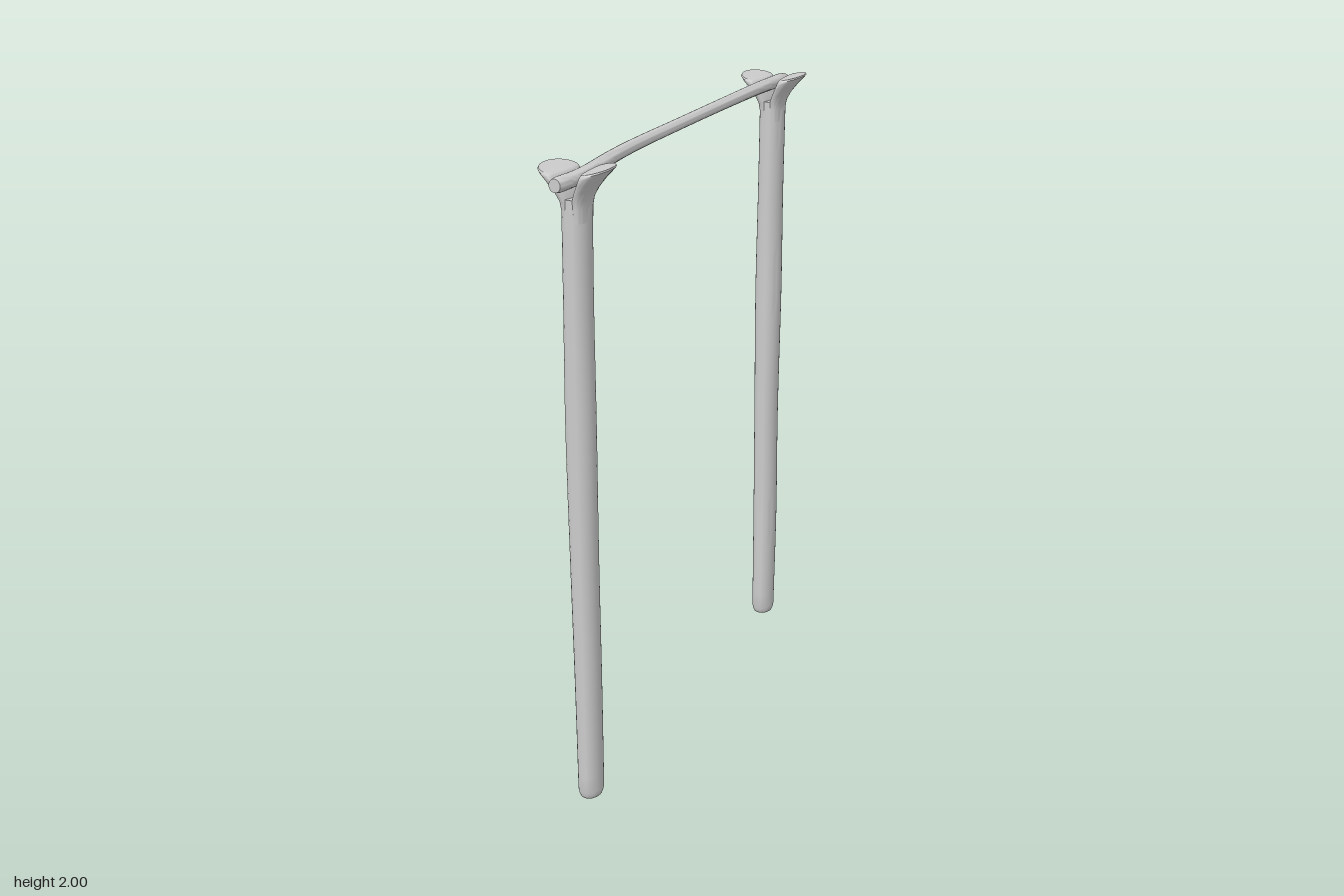
import * as THREE from 'three';
import { toCreasedNormals } from 'three/addons/utils/BufferGeometryUtils.js';

const material = new THREE.MeshStandardMaterial({ color: 0xcccccc });

// Skin a list of equal-length rings and close both ends.
function loft(rings, crease = 0.8) {
  const n = rings[0].length, pos = [], idx = [];
  rings.forEach(r => r.forEach(p => pos.push(...p)));
  for (let i = 0; i < rings.length - 1; i++) {
    for (let j = 0; j < n; j++) {
      const k = (j + 1) % n;
      const a = i * n + j, b = i * n + k, c = b + n, d = a + n;
      idx.push(a, b, c, a, c, d);
    }
  }
  [0, rings.length - 1].forEach(r => {
    const mid = pos.length / 3;
    pos.push(...[0, 1, 2].map(q => rings[r].reduce((s, p) => s + p[q], 0) / n));
    for (let j = 0; j < n; j++) {
      const a = r * n + j, b = r * n + (j + 1) % n;
      if (r === 0) idx.push(mid, b, a); else idx.push(mid, a, b);
    }
  });
  const g = new THREE.BufferGeometry();
  g.setAttribute('position', new THREE.Float32BufferAttribute(pos, 3));
  g.setIndex(idx);
  return toCreasedNormals(g, crease);
}

const ring = (n, fn) => Array.from({ length: n }, (_, j) => fn((j / n) * Math.PI * 2));

// Smooth a few [station, ...values] keys into evenly spaced stations.
function smooth(keys, count) {
  const curve = new THREE.CatmullRomCurve3(keys.map(k => new THREE.Vector3(...k)));
  return curve.getPoints(count);
}

function mesh(name, geometry) {
  const m = new THREE.Mesh(geometry, material);
  m.name = name;
  return m;
}

// Upright pole: slightly wavering oval column with a rounded foot.
function poleGeometry(keys) {
  const rings = [[0, 0.72], [0.004, 0.86], [0.013, 0.95], [0.025, 1]].map(([y, s]) =>
    ring(28, t => [keys[0][1] + 0.037 * s * Math.cos(t), y, -0.046 * s * Math.sin(t)]));
  smooth(keys, 36).forEach(({ x: y, y: cx, z: rx }) => {
    rings.push(ring(28, t => [cx + rx * Math.cos(t), y, -0.047 * Math.sin(t)]));
  });
  return loft(rings);
}

// Fork prong: a D section that flares outward, with a sloping rounded tip.
function prongGeometry() {
  // height, inner x, outer x, half depth, slope of the section
  const sections = [
    [1.84, 0.000, 0.037, 0.044, 0],
    [1.88, 0.000, 0.038, 0.046, 0],
    [1.905, 0.000, 0.043, 0.049, 0],
    [1.93, 0.010, 0.056, 0.057, 0.05],
    [1.955, 0.020, 0.078, 0.066, 0.15],
    [1.975, 0.027, 0.100, 0.072, 0.22],
    [1.983, 0.030, 0.108, 0.072, 0.24],
    [1.988, 0.034, 0.106, 0.068, 0.22],
    [1.988, 0.041, 0.100, 0.060, 0.20],
  ];
  return loft(sections.map(([y, x0, x1, w, slope]) => ring(36, t => {
    const c = Math.cos(t), seat = x0 + (x1 - x0) * 0.35;
    const x = seat + (c > 0 ? (x1 - seat) * c : (x0 - seat) * Math.pow(-c, 0.5));
    return [x, y + slope * (x - (x0 + x1) / 2), -w * Math.sin(t)];
  })), 0.9);
}

export function createModel() {
  const model = new THREE.Group();
  model.name = 'forkedPoleRack';

  // Two forked uprights
  const prong = prongGeometry();
  const poles = [
    ['front', 0.655, [[0.03, -0.002, 0.037], [0.4, -0.003, 0.039], [0.8, -0.006, 0.041],
      [1.25, -0.007, 0.044], [1.6, -0.005, 0.041], [1.905, -0.002, 0.041]]],
    ['back', -0.653, [[0.03, -0.002, 0.037], [0.4, -0.001, 0.040], [0.8, -0.004, 0.040],
      [1.25, -0.004, 0.044], [1.6, -0.003, 0.041], [1.905, -0.001, 0.041]]],
  ];
  poles.forEach(([side, z, keys]) => {
    const upright = new THREE.Group();
    upright.name = side + 'Upright';
    upright.position.z = z;
    upright.add(mesh(side + 'Pole', poleGeometry(keys)));
    const left = mesh(side + 'LeftProng', prong);
    const right = mesh(side + 'RightProng', prong);
    left.rotation.y = 0.05;
    right.rotation.y = Math.PI - 0.12;
    right.position.y = -0.008;
    upright.add(left, right);
    model.add(upright);
  });

  // Crooked crossbar resting in the forks: keys are z, x, y
  const path = smooth([[-0.735, 0.002, 1.958], [-0.6, -0.008, 1.96], [-0.4, -0.014, 1.961],
    [0, -0.02, 1.961], [0.3, -0.021, 1.961], [0.45, -0.014, 1.96],
    [0.6, -0.003, 1.957], [0.66, -0.005, 1.955], [0.735, -0.024, 1.95]], 48);
  const bar = path.map(({ x: z, y: x, z: y }, i) => {
    const end = Math.abs(z) / 0.735;
    const tip = i === 0 || i === path.length - 1 ? 0.85 : 1;
    const rx = 0.021 * tip, ry = (0.0165 + 0.006 * end * end) * tip;
    return ring(20, t => [x + rx * Math.cos(t), y + ry * Math.sin(t), z]);
  });
  model.add(mesh('crossbar', loft(bar)));

  return model;
}
